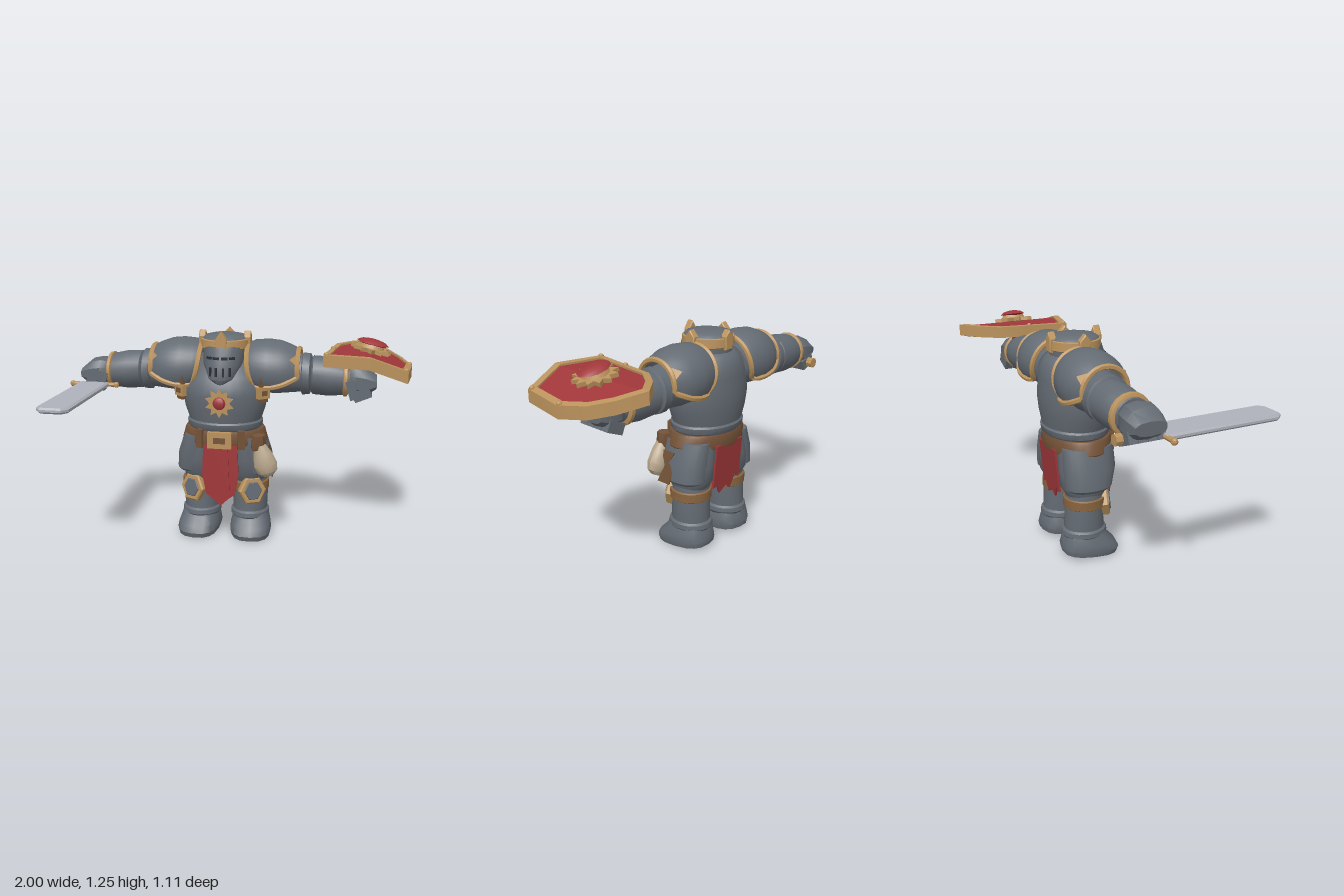
import * as THREE from 'three';
import { toCreasedNormals } from 'three/addons/utils/BufferGeometryUtils.js';

const mat = (name, color, side = THREE.FrontSide) => {
  const m = new THREE.MeshStandardMaterial({ color, side });
  m.name = name;
  return m;
};
const steel = mat('steel', 0x646b73, THREE.DoubleSide);
const gold = mat('gold', 0xba925c);
const red = mat('red', 0xa0373a, THREE.DoubleSide);
const leather = mat('leather', 0x755338);
const tan = mat('tan', 0x88643e);
const canvas = mat('canvas', 0xb9a78d);
const bladeMetal = mat('bladeMetal', 0xb0b2bb);
const dark = mat('dark', 0x2c2f34);

// Skin over elliptical rings [y, rx, rz, cx, cz], bottom to top, capped
function loft(rings, n = 20, power = 1) {
  const pos = [], idx = [];
  const sp = v => Math.sign(v) * Math.abs(v) ** power;
  for (const [y, rx, rz, cx = 0, cz = 0] of rings)
    for (let j = 0; j < n; j++) {
      const a = (j / n) * Math.PI * 2;
      pos.push(cx + rx * sp(Math.cos(a)), y, cz + rz * sp(Math.sin(a)));
    }
  const last = rings.length - 1;
  for (const r of [rings[0], rings[last]]) pos.push(r[3] || 0, r[0], r[4] || 0);
  const bottom = rings.length * n, top = bottom + 1;
  for (let j = 0; j < n; j++) {
    const k = (j + 1) % n;
    for (let i = 0; i < last; i++) {
      const a = i * n + j, b = i * n + k;
      idx.push(a, a + n, b, b, a + n, b + n);
    }
    idx.push(bottom, j, k, top, last * n + k, last * n + j);
  }
  const g = new THREE.BufferGeometry();
  g.setAttribute('position', new THREE.Float32BufferAttribute(pos, 3));
  g.setIndex(idx);
  return g;
}
// Loft lying along x: rings [x, ry, rz, cy, cz]
const armLoft = (rings, n, p) =>
  loft(rings.map(([x, ry, rz, cy, cz]) => [x, ry, rz, -cy, cz]), n, p).rotateZ(-Math.PI / 2);

// Mirrored copy in x with the corner order put right
function mirror(geo) {
  const g = geo.index ? geo.toNonIndexed() : geo.clone();
  const p = g.attributes.position, a = new THREE.Vector3(), b = new THREE.Vector3();
  g.deleteAttribute('normal');
  g.deleteAttribute('uv');
  for (let i = 0; i < p.count; i += 3) {
    a.fromBufferAttribute(p, i + 1);
    b.fromBufferAttribute(p, i + 2);
    p.setXYZ(i, -p.getX(i), p.getY(i), p.getZ(i));
    p.setXYZ(i + 1, -b.x, b.y, b.z);
    p.setXYZ(i + 2, -a.x, a.y, a.z);
  }
  return g;
}
function add(parent, name, geo, material) {
  const g = geo.index ? geo.toNonIndexed() : geo;
  g.computeVertexNormals();
  const m = new THREE.Mesh(toCreasedNormals(g, 0.6), material);
  m.name = name;
  parent.add(m);
}
const box = (w, h, d, x, y, z, ry = 0, rz = 0) =>
  new THREE.BoxGeometry(w, h, d).rotateZ(rz).rotateY(ry).translate(x, y, z);
const plate = (pts, depth, bevel = 0) =>
  new THREE.ExtrudeGeometry(new THREE.Shape(pts.map(p => new THREE.Vector2(p[0], p[1]))), {
    depth, bevelEnabled: bevel > 0, bevelSize: bevel, bevelThickness: bevel, bevelSegments: 1 });
const star = (points, r1, r2, depth) => plate(Array.from({ length: points * 2 }, (_, i) => {
  const a = (i * Math.PI) / points, r = i % 2 ? r2 : r1;
  return [r * Math.sin(a), r * Math.cos(a)];
}), depth);

// Pauldron rows [x, radius, half sweep]; t runs from back (-1) to front (1)
const shell = [[0.135, 0.15, 2.1], [0.17, 0.166, 2.1], [0.25, 0.173, 2.05], [0.32, 0.166, 1.97], [0.38, 0.145, 1.87], [0.425, 0.122, 1.75]];
const shellPoint = (i, t, lift = 0) => {
  const [x, r, reach] = shell[i], a = t * reach;
  return new THREE.Vector3(x + 0.05 * t ** 4 * (1 - i / 5), 1.02 + (r + lift) * Math.cos(a), -0.03 + 1.03 * (r + lift) * Math.sin(a));
};

export function createModel() {
  const model = new THREE.Group();
  model.name = 'armouredKnight';
  const body = new THREE.Group();
  body.name = 'body';
  body.position.set(-0.06, 0, -0.17);
  model.add(body);
  const one = (name, geo, m) => add(body, name, geo, m);
  const pair = (name, geo, m) => {
    const other = mirror(geo);
    one('left' + name, geo, m);
    one('right' + name, other, m);
  };

  // Torso, hips and belt
  one('breastplate', loft([[0.67, 0.205, 0.165], [0.69, 0.222, 0.182], [0.72, 0.225, 0.186], [0.73, 0.215, 0.178],
    [0.8, 0.238, 0.19], [0.88, 0.252, 0.197], [0.94, 0.245, 0.193], [0.99, 0.23, 0.176, 0, -0.014],
    [1.05, 0.19, 0.155, 0, -0.03], [1.1, 0.15, 0.13, 0, -0.03], [1.12, 0.12, 0.11, 0, -0.02]], 28), steel);
  one('hips', loft([[0.42, 0.12, 0.1, 0, 0.01], [0.48, 0.22, 0.13, 0, 0.015], [0.56, 0.245, 0.145, 0, 0.015],
    [0.68, 0.21, 0.16]], 24), steel);
  one('belt', loft([[0.595, 0.25, 0.178, 0, 0.005], [0.61, 0.256, 0.182, 0, 0.005], [0.665, 0.24, 0.182, 0, 0.005],
    [0.68, 0.232, 0.178, 0, 0.005]], 28), leather);
  one('buckle', box(0.14, 0.095, 0.03, 0, 0.635, 0.19), gold);
  one('buckleInset', box(0.07, 0.035, 0.008, 0, 0.635, 0.203), leather);
  pair('BeltLoop', box(0.04, 0.11, 0.03, 0.12, 0.635, 0.165, 0.4), leather);

  // Chest emblem
  one('chestSun', star(10, 0.084, 0.056, 0.014).translate(0, 0.855, 0.19), gold);
  one('chestGem', new THREE.SphereGeometry(0.038, 8, 6).scale(1, 1, 0.5).translate(0, 0.855, 0.203), red);

  // Helmet, visor and crown
  one('helmet', loft([[1.02, 0.12, 0.13], [1.15, 0.132, 0.138], [1.198, 0.132, 0.138], [1.215, 0.115, 0.12],
    [1.225, 0.07, 0.07]], 20), steel);
  const visor = [[0.95, 0.03, 0.05, 0, 0.13], [0.985, 0.085, 0.105, 0, 0.092], [1.07, 0.118, 0.135, 0, 0.05],
    [1.165, 0.124, 0.132, 0, 0.02]];
  one('visor', loft(visor, 20), steel);
  const slit = (name, x, y, w, h) => {
    const i = y < 1.07 ? 1 : 2, t = (y - visor[i][0]) / (visor[i + 1][0] - visor[i][0]);
    const [, rx, rz, , cz] = visor[i].map((v, k) => v + (visor[i + 1][k] - v) * t);
    const c = Math.sqrt(1 - (x / rx) ** 2);
    one(name, box(w, h, 0.009, x, y, cz + rz * c + 0.001, Math.atan2(x / rx, c)), dark);
  };
  for (const x of [-0.065, -0.024, 0.024, 0.065]) slit('eyeSlit', x, 1.105, 0.036, 0.014);
  for (const x of [-0.055, -0.02, 0.02, 0.055]) slit('breathSlit', x, 1.03, 0.012, 0.05);
  one('crownBand', loft([[1.145, 0.132, 0.138], [1.15, 0.141, 0.146], [1.196, 0.139, 0.144], [1.2, 0.13, 0.136]], 20), gold);
  for (let i = 0; i < 4; i++)
    one('crownProng', plate([[-0.022, 1.14], [0.022, 1.14], [0.027, 1.205], [0, i ? 1.235 : 1.247], [-0.027, 1.205]], 0.03, 0.005)
      .translate(0, 0, 0.116).rotateY((i * Math.PI) / 2), gold);

  // Pauldrons: open shells with a gilded edge
  const pauldron = new THREE.PlaneGeometry(1, 1, 22, 5), pp = pauldron.attributes.position;
  for (let i = 0; i < pp.count; i++) {
    const v = shellPoint(Math.round((pp.getY(i) + 0.5) * 5), pp.getX(i) * 2);
    pp.setXYZ(i, v.x, v.y, v.z);
  }
  pair('Pauldron', pauldron, steel);
  const rim = [];
  for (let i = -8; i <= 8; i++) rim.push(shellPoint(0, i / 8));
  for (let i = 1; i < 5; i++) rim.push(shellPoint(i, 1));
  for (let i = 8; i >= -8; i--) rim.push(shellPoint(5, i / 8));
  for (let i = 4; i > 0; i--) rim.push(shellPoint(i, -1));
  pair('PauldronTrim', new THREE.TubeGeometry(new THREE.CatmullRomCurve3(rim, true), 90, 0.015, 6, true), gold);
  // Gilded points reaching in from the outer edge
  for (const t of [-0.55, 0.55])
    pair('PauldronPoint', new THREE.BufferGeometry().setFromPoints(
      [shellPoint(5, t - 0.17, 0.009), shellPoint(4, t, 0.009), shellPoint(5, t + 0.17, 0.009)]), gold);
  pair('ShoulderStrap', box(0.05, 0.15, 0.025, 0.238, 0.93, 0.118, 0.7), leather);
  pair('ShoulderBuckle', box(0.075, 0.065, 0.03, 0.24, 0.91, 0.128, 0.7), gold);
  pair('BuckleInset', box(0.036, 0.028, 0.008, 0.2495, 0.91, 0.139, 0.7), leather);

  // Arms and fists
  pair('UpperArm', armLoft([[0.14, 0.12, 0.12, 1.0, -0.04], [0.3, 0.125, 0.125, 1.0, -0.04],
    [0.45, 0.11, 0.11, 1.0, -0.045]], 18), steel);
  pair('ElbowCuff', armLoft([[0.44, 0.105, 0.105, 0.995, -0.045], [0.45, 0.122, 0.122, 0.995, -0.045],
    [0.49, 0.12, 0.12, 0.995, -0.045], [0.5, 0.1, 0.1, 0.995, -0.045]], 18), steel);
  pair('Vambrace', armLoft([[0.5, 0.1, 0.1, 0.99, -0.045], [0.51, 0.113, 0.113, 0.99, -0.045],
    [0.6, 0.114, 0.112, 0.985, -0.045], [0.69, 0.1, 0.102, 0.98, -0.04], [0.72, 0.085, 0.09, 0.98, -0.035]], 18), steel);
  pair('WristBand', armLoft([[0.682, 0.1, 0.102, 0.98, -0.04], [0.688, 0.11, 0.112, 0.98, -0.04],
    [0.705, 0.108, 0.11, 0.98, -0.04], [0.711, 0.095, 0.1, 0.98, -0.04]], 18), gold);
  pair('Fist', armLoft([[0.71, 0.075, 0.08, 0.975, -0.035], [0.75, 0.092, 0.1, 0.97, -0.03],
    [0.81, 0.085, 0.1, 0.965, -0.03], [0.87, 0.035, 0.085, 0.965, -0.03]], 10, 0.8), steel);
  for (let i = 0; i < 4; i++)
    pair('Finger', box(0.1, 0.06, 0.046, 0.79, 0.905, -0.105 + i * 0.05, 0, 0.4), steel);
  pair('Thumb', box(0.05, 0.11, 0.05, 0.735, 0.93, 0.05, 0, 0.3), steel);

  // Legs, knee guards and boots
  pair('Thigh', loft([[0.36, 0.1, 0.11, 0.145, -0.01], [0.41, 0.118, 0.14, 0.145, -0.01],
    [0.5, 0.128, 0.152, 0.14, -0.005], [0.62, 0.12, 0.15, 0.12, 0]], 20), steel);
  pair('HipPlate', loft([[0.405, 0.085, 0.115, 0.195, -0.012], [0.42, 0.1, 0.135, 0.19, -0.012],
    [0.52, 0.1, 0.15, 0.18, -0.002], [0.64, 0.085, 0.148, 0.155, 0]], 20, 0.9), steel);
  one('hipLeather', plate([[-0.08, 0.61], [0, 0.61], [-0.02, 0.57], [-0.025, 0.55], [0, 0.5], [-0.015, 0.425], [-0.1, 0.425],
    [-0.075, 0.49], [-0.055, 0.53], [-0.08, 0.57]], 0.008)
    .rotateY(Math.PI / 2).rotateZ(0.16).translate(0.357, -0.025, 0), leather);
  pair('Greave', loft([[0.11, 0.105, 0.115, 0.15, -0.02], [0.13, 0.118, 0.13, 0.15, -0.02], [0.155, 0.116, 0.126, 0.15, -0.02],
    [0.165, 0.104, 0.113, 0.15, -0.02], [0.27, 0.108, 0.108, 0.15, -0.02], [0.38, 0.105, 0.105, 0.145, -0.015]], 20), steel);
  pair('KneeStrap', loft([[0.29, 0.11, 0.112, 0.148, -0.015], [0.295, 0.117, 0.119, 0.148, -0.015],
    [0.345, 0.117, 0.119, 0.148, -0.015], [0.35, 0.11, 0.112, 0.148, -0.015]], 20), tan);
  const hex = r => Array.from({ length: 6 }, (_, i) =>
    [r * Math.cos((i * Math.PI) / 3), 1.1 * r * Math.sin((i * Math.PI) / 3)]);
  const knee = g => g.rotateX(-0.12).rotateY(0.45).translate(0.168, 0.305, 0.078);
  pair('KneeGuard', knee(plate(hex(0.074), 0.035, 0.008)), gold);
  pair('KneePlate', knee(plate(hex(0.05), 0.01, 0.004).translate(0, 0, 0.036)), steel);
  pair('Boot', loft([[0, 0.118, 0.158], [0.03, 0.126, 0.165], [0.065, 0.121, 0.15, 0, -0.008], [0.105, 0.11, 0.122, 0, -0.028],
    [0.135, 0.1, 0.11, 0, -0.03]], 16, 0.75).rotateX(0.08).rotateY(0.1).translate(0.158, 0.013, 0.005), steel);

  // Hanging cloths
  one('frontCloth', plate([[-0.1, 0.6], [-0.108, 0.42], [-0.085, 0.3], [-0.045, 0.27], [0, 0.225], [0.045, 0.27],
    [0.085, 0.3], [0.108, 0.42], [0.1, 0.6]], 0.01).translate(0, 0, 0.168), red);
  one('frontClothFold', plate([[-0.045, 0.6], [-0.055, 0.33], [0, 0.235], [0.055, 0.33], [0.045, 0.6]], 0.008)
    .translate(0, 0, 0.177), red);
  one('backCloth', plate([[-0.105, 0.62], [-0.11, 0.37], [-0.07, 0.39], [-0.04, 0.32], [0, 0.35], [0.05, 0.315],
    [0.075, 0.37], [0.11, 0.36], [0.105, 0.62]], 0.012).rotateX(-0.09).translate(0, 0, -0.117), red);

  // Belt pouch
  one('pouch', loft([[-0.1, 0.03, 0.03], [-0.075, 0.06, 0.05], [-0.03, 0.07, 0.058], [0.03, 0.058, 0.05],
    [0.09, 0.035, 0.035]], 12).rotateZ(0.3).translate(0.25, 0.515, 0.13), canvas);
  one('pouchFlap', loft([[0.57, 0.04, 0.04], [0.585, 0.048, 0.045], [0.66, 0.04, 0.04]], 8).translate(0.215, 0, 0.125), leather);

  // Sword held flat, pointing forward
  const sword = new THREE.Group();
  sword.name = 'sword';
  sword.position.set(-0.845, 0.907, 0);
  model.add(sword);
  add(sword, 'blade', plate([[-0.08, -0.11], [0.08, -0.11], [0.08, 0.51], [0.055, 0.54], [-0.055, 0.54], [-0.08, 0.51]],
    0.012, 0.01).rotateX(Math.PI / 2).translate(0, 0.006, 0), bladeMetal);
  add(sword, 'guard', new THREE.CylinderGeometry(0.013, 0.013, 0.27, 8).rotateZ(Math.PI / 2).translate(0, 0, -0.11), gold);
  for (const s of [-1, 1])
    add(sword, 'guardEnd', new THREE.SphereGeometry(0.018, 8, 6).translate(s * 0.135, 0, -0.11), gold);
  add(sword, 'grip', new THREE.CylinderGeometry(0.018, 0.018, 0.21, 8).rotateX(Math.PI / 2).translate(0, 0, -0.215), leather);
  add(sword, 'pommel', new THREE.CylinderGeometry(0.03, 0.03, 0.035, 8).rotateX(Math.PI / 2).translate(0, 0, -0.325), gold);

  // Shield carried flat over the left hand, folded along its middle
  const shield = new THREE.Group();
  shield.name = 'shield';
  shield.position.set(0.762, 1.152, 0);
  model.add(shield);
  const fold = g => {
    g.rotateX(Math.PI / 2);
    const p = g.attributes.position;
    for (let i = 0; i < p.count; i++) p.setY(i, p.getY(i) - Math.max(0, p.getX(i)) * 0.37);
    return g;
  };
  const halves = [[[0, -0.555], [-0.11, -0.465], [-0.19, -0.36], [-0.217, -0.18], [-0.248, 0.045], [0, 0.1]],
    [[0, -0.555], [0.11, -0.46], [0.19, -0.355], [0.238, -0.21], [0.205, 0.05], [0, 0.1]]];
  for (const outer of halves) {
    const inner = outer.map(([x, z]) => [x * 0.86, -0.21 + (z + 0.21) * 0.87]);
    add(shield, 'shieldRim', fold(plate([...outer, ...inner.slice().reverse()], 0.065)), gold);
    add(shield, 'shieldPanel', fold(plate(inner, 0.035).translate(0, 0, 0.01)), red);
    for (const [x, z] of outer.slice(3, 5))
      add(shield, 'rimStud', new THREE.SphereGeometry(0.014, 8, 6)
        .translate(x * 0.94, -Math.max(0, x) * 0.35, -0.21 + (z + 0.21) * 0.94), gold);
  }
  const boss = new THREE.Group();
  boss.name = 'shieldBoss';
  boss.position.set(0.004, -0.012, -0.205);
  boss.rotation.z = -0.23;
  shield.add(boss);
  add(boss, 'bossSun', star(12, 0.115, 0.08, 0.022).rotateX(-Math.PI / 2), gold);
  add(boss, 'bossRing', new THREE.CylinderGeometry(0.06, 0.075, 0.03, 12).translate(0, 0.03, 0), gold);
  add(boss, 'bossGem', loft([[0.035, 0.06, 0.045], [0.045, 0.092, 0.07], [0.06, 0.07, 0.052], [0.068, 0.03, 0.02]], 10), red);
  add(shield, 'armStrap', box(0.05, 0.09, 0.12, -0.13, -0.085, -0.21), leather);
  return model;
}
